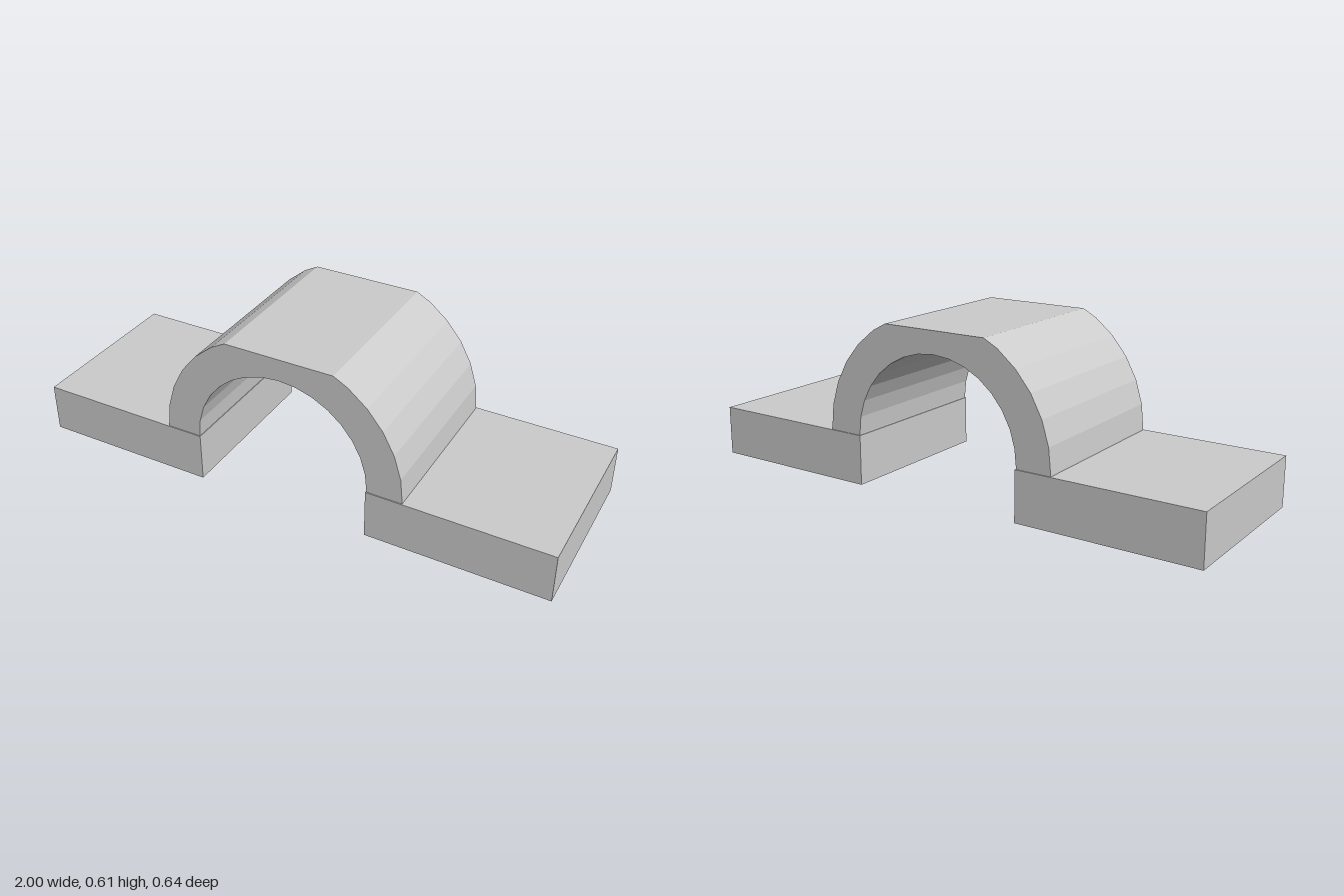
import * as THREE from 'three';

const material = new THREE.MeshStandardMaterial({ color: 0xcccccc, flatShading: true });

// Points of a faceted half circle, running from +x to -x
function halfCircle(radius, centreY, segments = 16) {
  return Array.from({ length: segments + 1 }, (_, i) => {
    const a = (i / segments) * Math.PI;
    return new THREE.Vector2(Math.cos(a) * radius, centreY + Math.sin(a) * radius);
  });
}

export function createModel() {
  const group = new THREE.Group();
  group.name = 'saddleClamp';

  const inner = 0.333, outer = 0.465, centreY = 0.19;
  const footTop = 0.185, archTop = 0.605, archDepth = 0.638, footDepth = 0.645;

  // Arch: half ring whose crown is cut flat
  const arc = halfCircle(outer, centreY);
  const outline = [new THREE.Vector2(outer, footTop - 0.005)];
  arc.forEach((p, i) => {
    const prev = arc[i - 1];
    if (prev && (prev.y > archTop) !== (p.y > archTop)) {
      outline.push(prev.clone().lerp(p, (archTop - prev.y) / (p.y - prev.y)));
    }
    if (p.y <= archTop) outline.push(p);
  });
  outline.push(new THREE.Vector2(-outer, footTop - 0.005));
  outline.push(new THREE.Vector2(-inner, footTop - 0.005));
  outline.push(...halfCircle(inner, centreY).reverse());
  outline.push(new THREE.Vector2(inner, footTop - 0.005));

  const archGeometry = new THREE.ExtrudeGeometry(new THREE.Shape(outline), {
    depth: archDepth, bevelEnabled: false,
  });
  archGeometry.translate(0, 0, -archDepth / 2);
  const arch = new THREE.Mesh(archGeometry, material);
  arch.name = 'arch';
  group.add(arch);

  // Flat mounting feet on both sides
  for (const [name, side] of [['leftFoot', 1], ['rightFoot', -1]]) {
    const width = 1 - 0.33;
    const foot = new THREE.Mesh(new THREE.BoxGeometry(width, footTop, footDepth), material);
    foot.position.set(side * (1 - width / 2), footTop / 2, 0);
    foot.name = name;
    group.add(foot);
  }

  return group;
}
